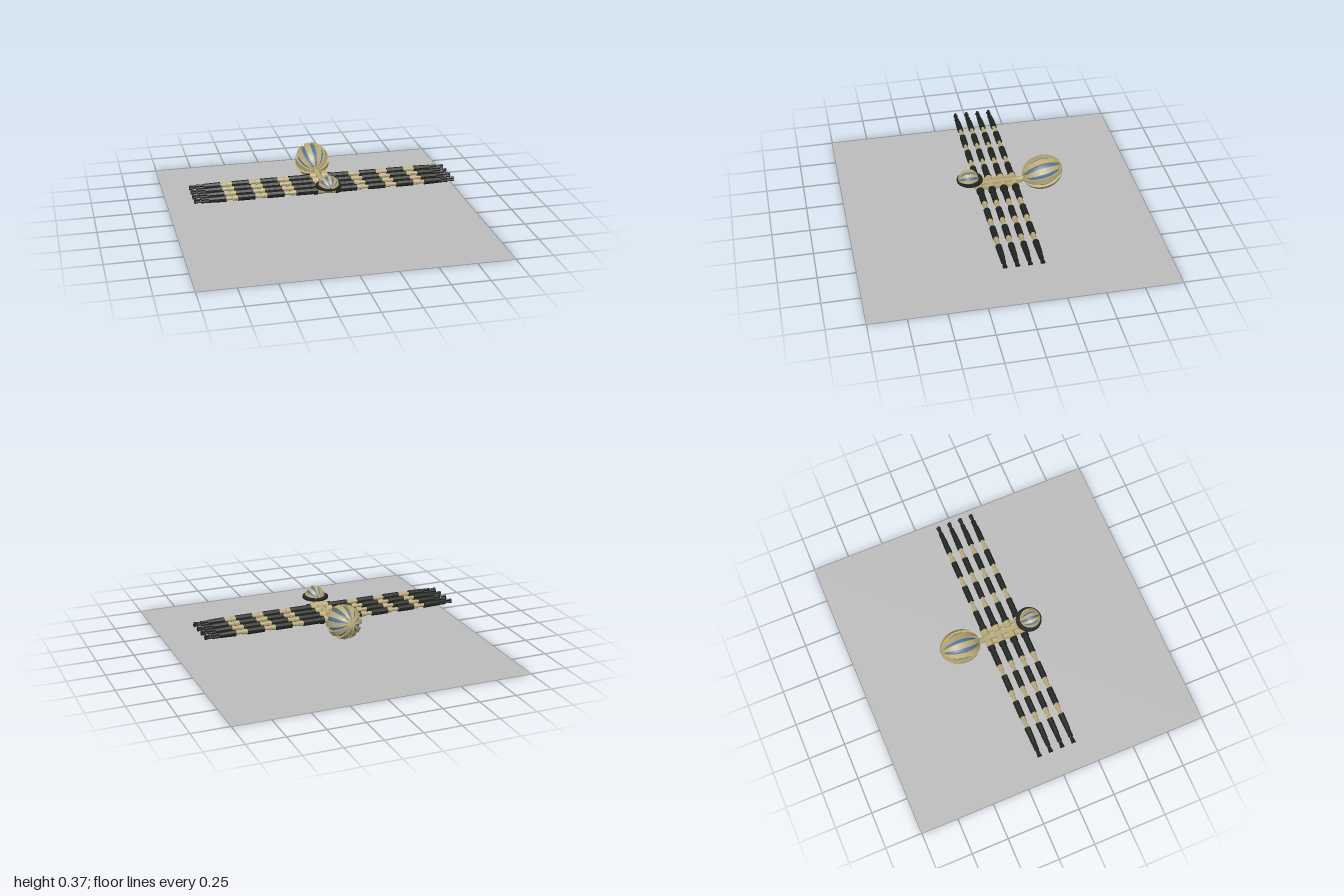
import * as THREE from 'three';

const mat = (name, color, side = THREE.FrontSide) => {
  const m = new THREE.MeshStandardMaterial({ color, side });
  m.name = name;
  return m;
};

export function createModel() {
  const tan = mat('tan', 0xb9aa78);
  const black = mat('black', 0x20231f);
  const blue = mat('blue', 0x4a74a4);
  const grey = mat('grey', 0xbcbcbc, THREE.DoubleSide);
  const model = new THREE.Group();

  const add = (parent, name, geo, material, x = 0, y = 0, z = 0) => {
    const m = new THREE.Mesh(geo, material);
    m.name = name;
    m.position.set(x, y, z);
    parent.add(m);
    return m;
  };
  // Eight-sided bar lying along x from x0 to x1, with a radius at each end
  const bar = (parent, name, x0, x1, r0, r1, material, y = 0, z = 0) => {
    const g = new THREE.CylinderGeometry(r0, r1, x1 - x0, 8).toNonIndexed();
    g.rotateZ(Math.PI / 2).rotateX(Math.PI / 8);
    g.computeVertexNormals();
    return add(parent, name, g, material, (x0 + x1) / 2, y, z);
  };

  // Curved rib following a meridian of a sphere whose poles are on y
  const ribGeometry = (inner, outer, halfWidth, stretch, steps = 18) => {
    const pos = [], idx = [];
    for (let i = 0; i <= steps; i++) {
      const t = Math.PI * (0.03 + 0.94 * i / steps);
      for (const [r, a] of [[outer, -halfWidth], [outer, halfWidth], [inner, halfWidth], [inner, -halfWidth]]) {
        const s = r * Math.sin(t);
        pos.push(s * Math.sin(a), r * Math.cos(t) * stretch, s * Math.cos(a));
      }
    }
    for (let i = 0; i < steps; i++) {
      for (let k = 0; k < 4; k++) {
        const a = i * 4 + k, b = i * 4 + (k + 1) % 4;
        idx.push(a, a + 4, b, b, a + 4, b + 4);
      }
    }
    const e = steps * 4;
    idx.push(0, 1, 2, 0, 2, 3, e, e + 2, e + 1, e, e + 3, e + 2);
    const g = new THREE.BufferGeometry();
    g.setAttribute('position', new THREE.Float32BufferAttribute(pos, 3));
    g.setIndex(idx);
    const flat = g.toNonIndexed();
    flat.computeVertexNormals();
    return flat;
  };

  // Base plane
  add(model, 'basePlane', new THREE.PlaneGeometry(2, 2).rotateX(-Math.PI / 2), grey);

  // Abdomen: blue core held in a cage of ten raised ribs
  const abdomen = new THREE.Group();
  abdomen.name = 'abdomen';
  abdomen.position.set(0, 0.255, -0.315);
  abdomen.rotation.x = -1.34;
  const core = new THREE.SphereGeometry(0.098, 32, 20);
  core.scale(1, 1.24, 1);
  add(abdomen, 'abdomenCore', core, blue);
  const rib = ribGeometry(0.094, 0.114, 0.18, 1.2);
  for (let i = 0; i < 10; i++) {
    add(abdomen, 'abdomenRib', rib, tan).rotation.y = (i + 0.5) * Math.PI / 5;
  }
  for (const s of [-1, 1]) {
    add(abdomen, 'abdomenCap', new THREE.CylinderGeometry(0.026, 0.026, 0.012, 12), tan, 0, s * 0.126, 0);
  }
  model.add(abdomen);

  // Head: ribbed half dome on a black disc
  const head = new THREE.Group();
  head.name = 'head';
  head.position.set(0, 0.263, 0.186);
  const dome = new THREE.SphereGeometry(0.06, 24, 16, 0, Math.PI);
  add(head, 'headDome', dome, blue).rotation.x = -Math.PI / 2;
  const headRib = ribGeometry(0.056, 0.068, 0.17, 1);
  for (let i = -2; i <= 2; i++) {
    const holder = new THREE.Group();
    holder.rotation.x = -Math.PI / 2;
    add(holder, 'headRib', headRib, tan).rotation.y = i * Math.PI / 5;
    head.add(holder);
  }
  add(head, 'headDisc', new THREE.CylinderGeometry(0.086, 0.086, 0.012, 32), black, 0, -0.004, -0.01);
  model.add(head);

  // Neck wedge under the disc
  const wedge = new THREE.Shape([[0.2, 0.255], [0.13, 0.255], [0.1, 0.225], [0.1, 0.195], [0.145, 0.195]]
    .map(([z, y]) => new THREE.Vector2(-z, y)));
  const neck = new THREE.ExtrudeGeometry(wedge, { depth: 0.05, bevelEnabled: false });
  neck.translate(0, 0, -0.025).rotateY(Math.PI / 2);
  add(model, 'neck', neck, tan);

  // Spine and the tail joint to the abdomen
  add(model, 'spine', new THREE.BoxGeometry(0.03, 0.03, 0.31), tan, 0, 0.212, -0.02);
  for (const s of [-1, 1]) {
    add(model, 'sideRail', new THREE.BoxGeometry(0.018, 0.026, 0.25), tan, s * 0.042, 0.21, 0);
  }
  const tail = add(model, 'tailJoint', new THREE.CylinderGeometry(0.02, 0.016, 0.07, 10), tan, 0, 0.22, -0.175);
  tail.rotation.x = -1.34;

  // One leg along +x: black sleeves on a tan rod, ending in a claw
  const makeLeg = () => {
    const leg = new THREE.Group();
    leg.name = 'leg';
    bar(leg, 'bodyKnuckle', 0.02, 0.06, 0.027, 0.027, tan, 0.004);
    bar(leg, 'hipCollar', 0.06, 0.085, 0.026, 0.026, black);
    bar(leg, 'legRod', 0.05, 0.68, 0.012, 0.012, tan);
    for (const [a, b] of [[0.085, 0.205], [0.283, 0.398], [0.476, 0.59]]) {
      bar(leg, 'legSleeve', a, b, 0.021, 0.021, black);
      bar(leg, 'jointCollar', b, b + 0.035, 0.017, 0.017, tan);
    }
    bar(leg, 'foot', 0.668, 0.78, 0.021, 0.018, black).rotation.x = 0;
    for (const [y, z] of [[0.008, 0], [-0.006, 0.007], [-0.006, -0.007]]) {
      bar(leg, 'claw', 0.77, 0.83, 0.009, 0.009, black, y, z);
      bar(leg, 'clawTip', 0.83, 0.875, 0.009, 0.003, black, y, z).scale.x = -1;
    }
    return leg;
  };

  // Four pairs of legs
  for (const z of [0.118, 0.039, -0.041, -0.12]) {
    for (const s of [0, 1]) {
      const leg = makeLeg();
      leg.position.set(0, 0.206, z);
      leg.rotation.y = s * Math.PI;
      model.add(leg);
    }
  }
  return model;
}
